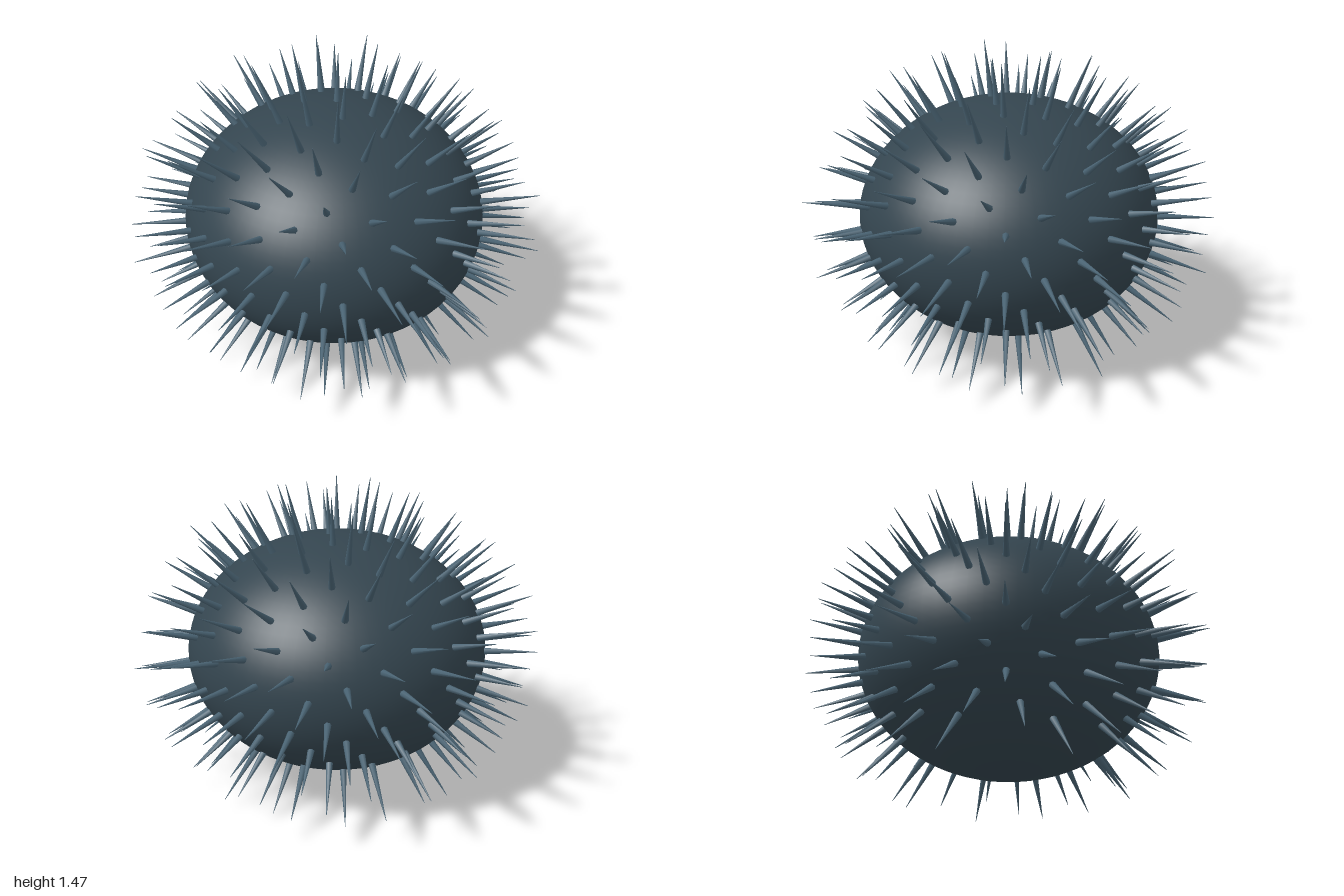
import * as THREE from 'three';

const RADIUS = 0.73, HALF_HEIGHT = 0.565, CENTER_Y = 0.67;

export function createModel() {
  const group = new THREE.Group();
  group.name = 'seaUrchin';
  const shellMaterial = new THREE.MeshStandardMaterial({ color: 0x34454f });
  const spineMaterial = new THREE.MeshStandardMaterial({ color: 0x4a6474 });

  // Oblate shell
  const shell = new THREE.Mesh(new THREE.SphereGeometry(1, 64, 40), shellMaterial);
  shell.name = 'shell';
  shell.scale.set(RADIUS, HALF_HEIGHT, RADIUS);
  shell.position.y = CENTER_Y;
  group.add(shell);

  // Small seeded generator for spine length
  let seed = 17;
  const random = () => (seed = (seed * 16807) % 2147483647) / 2147483647;

  // Spines on a spiral that lines up in 55 columns, leaving the underside bare
  const spines = new THREE.Group();
  spines.name = 'spines';
  const spineGeometry = new THREE.CylinderGeometry(0.001, 0.0175, 1, 7).translate(0, 0.5, 0);
  const up = new THREE.Vector3(0, 1, 0);
  const total = 240, lowest = -0.8, turn = 2.399, buried = 0.02;
  for (let i = 0; i < total; i++) {
    const y = 1 - (2 * (i + 0.5)) / total;
    if (y < lowest) break;
    const r = Math.sqrt(1 - y * y);
    const angle = 0.33 - i * turn;
    const direction = new THREE.Vector3(r * Math.cos(angle), y, r * Math.sin(angle));
    const spine = new THREE.Mesh(spineGeometry, spineMaterial);
    spine.name = 'spine';
    spine.position.set(direction.x * RADIUS, CENTER_Y + direction.y * HALF_HEIGHT, direction.z * RADIUS);
    spine.position.addScaledVector(direction, -buried);
    spine.quaternion.setFromUnitVectors(up, direction);
    spine.scale.y = buried + 0.22 + 0.06 * random();
    spines.add(spine);
  }
  group.add(spines);
  return group;
}
